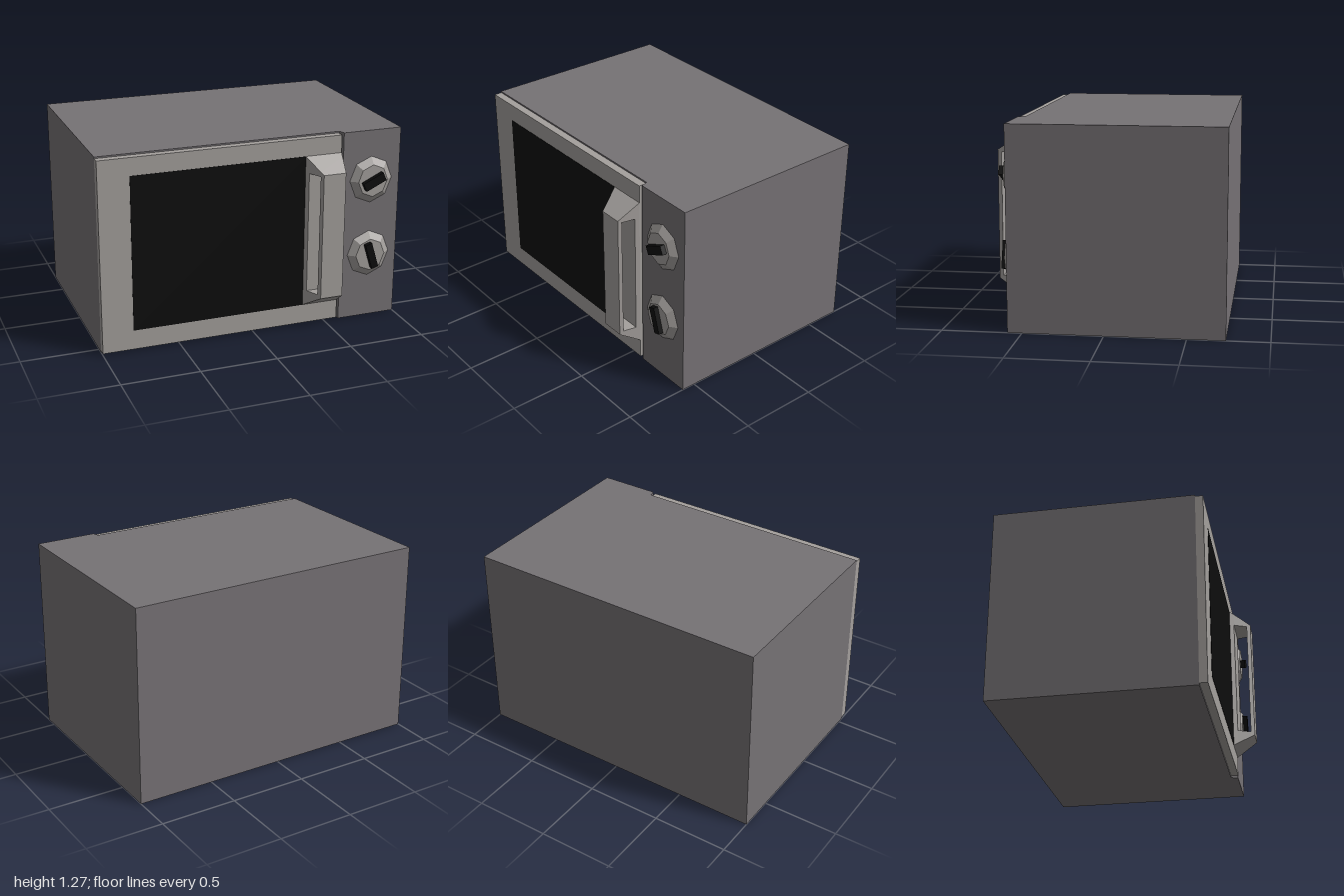
import * as THREE from 'three';

const casing = new THREE.MeshStandardMaterial({ color: 0x767275 });
casing.name = 'casingGrey';
const trim = new THREE.MeshStandardMaterial({ color: 0xa4a09d });
trim.name = 'doorGrey';
const black = new THREE.MeshStandardMaterial({ color: 0x0d0d0d });
black.name = 'black';

function addMesh(parent, name, geometry, material) {
  const mesh = new THREE.Mesh(geometry, material);
  mesh.name = name;
  parent.add(mesh);
  return mesh;
}

// Box given by its minimum and maximum corners
function block(x0, x1, y0, y1, z0, z1) {
  return new THREE.BoxGeometry(x1 - x0, y1 - y0, z1 - z0)
    .translate((x0 + x1) / 2, (y0 + y1) / 2, (z0 + z1) / 2);
}

// Tapered block between two rectangles [x0, x1, y0, y1] at z0 and z1
function taper(back, z0, front, z1) {
  const box = new THREE.BoxGeometry(1, 1, 1);
  const p = box.attributes.position;
  for (let i = 0; i < p.count; i++) {
    const r = p.getZ(i) > 0 ? front : back;
    p.setXYZ(i, p.getX(i) > 0 ? r[1] : r[0], p.getY(i) > 0 ? r[3] : r[2], p.getZ(i) > 0 ? z1 : z0);
  }
  const geometry = box.toNonIndexed();
  geometry.computeVertexNormals();
  return geometry;
}

// Grip: a tapered block with an opening through its sides
function makeHandle() {
  const handle = new THREE.Group();
  handle.name = 'handle';
  const [zBase, zFront] = [0.595, 0.735];
  const [zIn, zOut, yLow, yHigh] = [0.625, 0.71, 0.25, 1.045];
  const baseRect = [0.34, 0.585, 0.14, 1.15];
  const frontRect = [0.405, 0.555, 0.23, 1.06];
  const outer = (z) => baseRect.map((v, i) =>
    THREE.MathUtils.lerp(v, frontRect[i], (z - zBase) / (zFront - zBase)));
  const a = outer(zIn);
  const b = outer(zOut);
  addMesh(handle, 'handleBase', taper(baseRect, zBase, a, zIn), trim);
  addMesh(handle, 'handleGrip', taper(b, zOut, frontRect, zFront), trim);
  addMesh(handle, 'handleLowerPost',
    taper([a[0], a[1], a[2], yLow], zIn, [b[0], b[1], b[2], yLow], zOut), trim);
  addMesh(handle, 'handleUpperPost',
    taper([a[0], a[1], yHigh, a[3]], zIn, [b[0], b[1], yHigh, b[3]], zOut), trim);
  return handle;
}

// Eight-sided dial with a raised pointer bar
function makeKnob(name, y, angle, length, width) {
  const knob = new THREE.Group();
  knob.name = name;
  knob.position.set(0.8, y, 0.59);
  const dial = new THREE.CylinderGeometry(0.107, 0.155, 0.035, 8)
    .rotateX(Math.PI / 2).scale(0.95, 1, 1).translate(0, 0, 0.0175).toNonIndexed();
  dial.computeVertexNormals();
  addMesh(knob, 'dial', dial, trim);
  const pointer = addMesh(knob, 'pointer', new THREE.BoxGeometry(length, width, 0.035), black);
  pointer.position.z = 0.0485;
  pointer.rotation.z = THREE.MathUtils.degToRad(angle);
  return knob;
}

export function createModel() {
  const model = new THREE.Group();
  model.name = 'microwave';

  // Casing, with a step in its plan where the door sits
  const plan = new THREE.Shape([
    [-1, 0.735], [-1, -0.545], [0.59, -0.545], [0.602, -0.59], [1, -0.59], [1, 0.735],
  ].map(([x, y]) => new THREE.Vector2(x, y)));
  const body = new THREE.ExtrudeGeometry(plan, { depth: 1.275, bevelEnabled: false }).rotateX(-Math.PI / 2);
  addMesh(model, 'casing', body, casing);

  // Door with its dark window and handle
  const door = new THREE.Group();
  door.name = 'door';
  addMesh(door, 'doorPanel', block(-1, 0.585, 0.012, 1.265, 0.545, 0.595), trim);
  addMesh(door, 'window', block(-0.8, 0.34, 0.14, 1.15, 0.592, 0.597), black);
  door.add(makeHandle());
  model.add(door);

  // Control knobs
  model.add(makeKnob('upperKnob', 0.947, 25, 0.15, 0.057));
  model.add(makeKnob('lowerKnob', 0.44, 107, 0.174, 0.047));
  return model;
}
